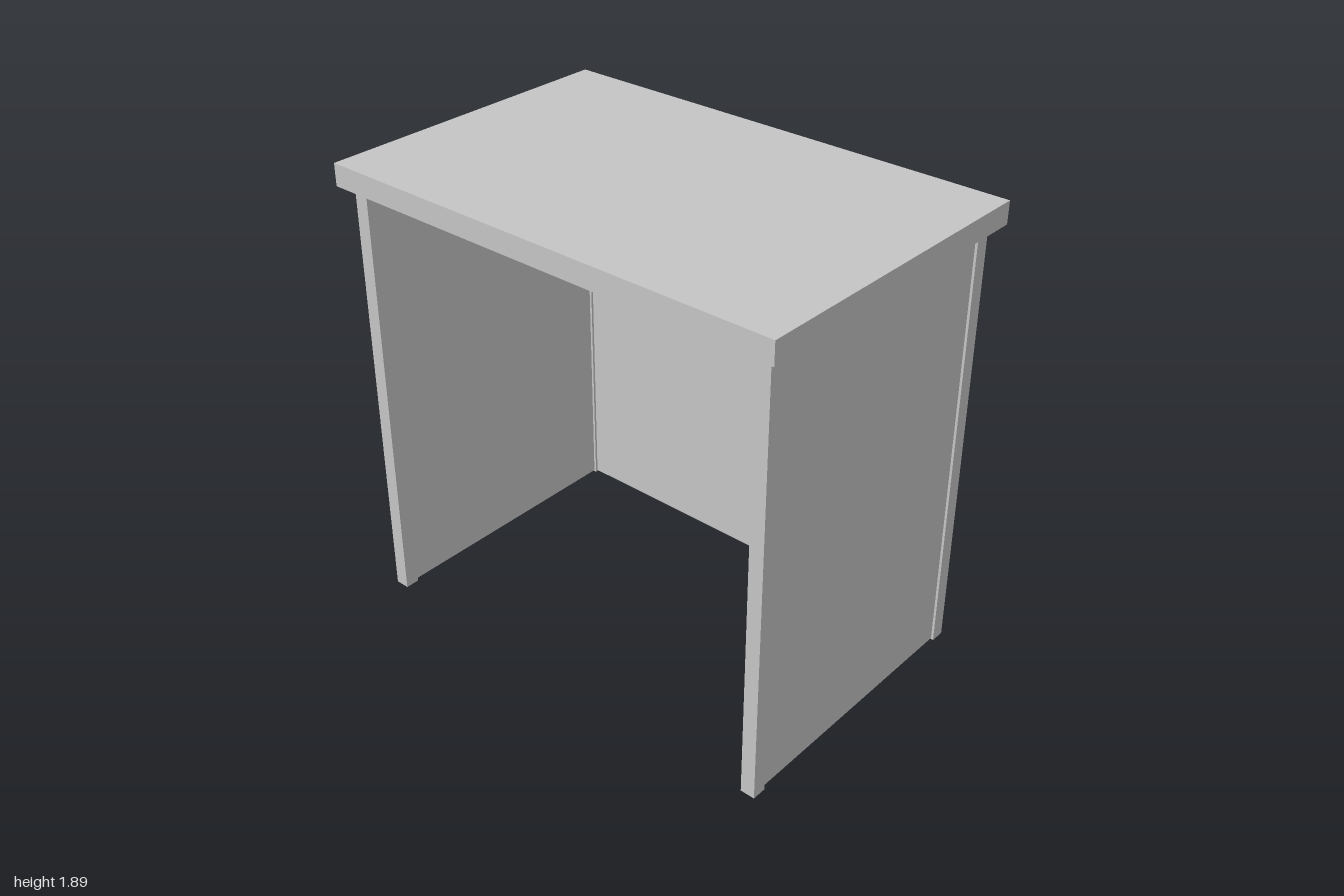
import * as THREE from 'three';

export function createModel() {
  const model = new THREE.Group();
  model.name = 'desk';
  const grey = new THREE.MeshStandardMaterial({ color: 0xc4c4c4 });
  grey.name = 'light grey';

  const box = (name, w, h, d, x, y, z) => {
    const mesh = new THREE.Mesh(new THREE.BoxGeometry(w, h, d), grey);
    mesh.name = name;
    mesh.position.set(x, y, z);
    model.add(mesh);
  };

  const height = 1.8, post = 0.06, panel = 0.04, lift = 0.005;
  const legX = 0.925, legZ = 0.578;
  const panelH = height - lift, panelY = lift + panelH / 2;

  // Overhanging top slab
  box('tabletop', 2, 0.09, 1.31, 0, height + 0.045, 0);

  for (const [side, sx] of [['left', 1], ['right', -1]]) {
    // Square corner posts
    for (const [end, sz] of [['front', 1], ['back', -1]]) {
      box(`${end} ${side} leg`, post, height, post, sx * legX, height / 2, sz * legZ);
    }
    // Side panel, set in slightly from the faces of the posts
    box(`${side} side panel`, panel, panelH, 2 * legZ - post, sx * legX, panelY, 0);
  }

  // Back panel between the rear posts; the front stays open
  box('back panel', 2 * legX - post, panelH, panel, 0, panelY, -legZ);

  return model;
}
